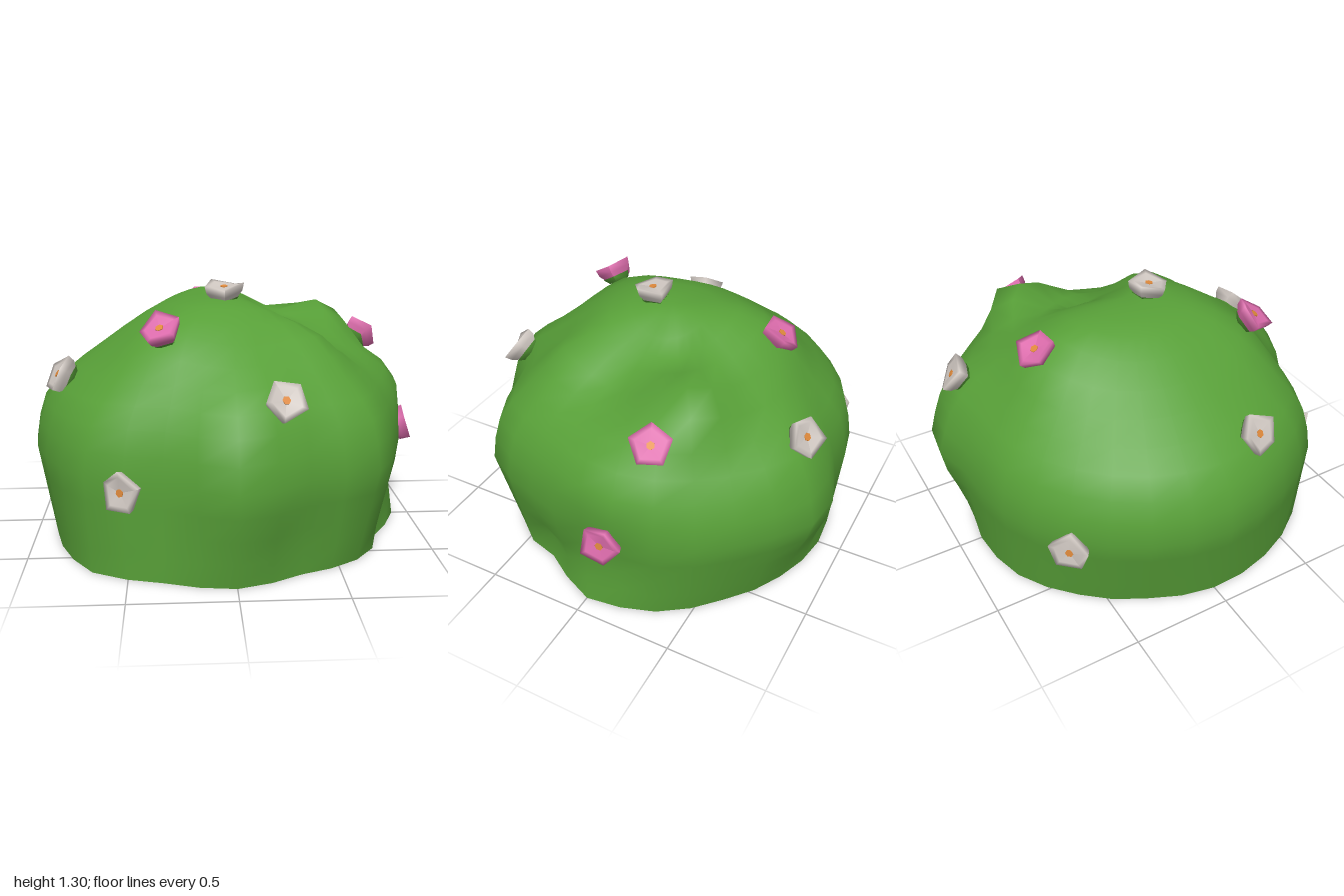
import * as THREE from 'three';

const mat = (name, color, side = THREE.FrontSide) => {
  const m = new THREE.MeshStandardMaterial({ color, side });
  m.name = name;
  return m;
};

// Radius every 22.5 degrees from +x towards +z: at the ground and at the widest height
const BASE = [0.92, 0.86, 0.85, 0.81, 0.88, 0.87, 0.95, 0.92, 0.9, 0.86, 0.86, 0.885, 0.88, 0.86, 0.856, 0.9];
const WIDE = [0.91, 0.9, 0.96, 0.86, 0.98, 0.87, 0.98, 0.98, 1.0, 0.985, 0.96, 0.945, 0.91, 1.0, 0.98, 0.97];
const WIDE_Y = 0.48;
// Height and share of the widest radius for each ring, bottom to top
const RINGS = [[0, 1], [0.12, 1], [0.24, 1], [0.36, 1], [WIDE_Y, 1], [0.6, 0.98], [0.71, 0.945], [0.8, 0.875],
  [0.88, 0.78], [0.96, 0.67], [1.04, 0.56], [1.12, 0.44], [1.18, 0.33], [1.21, 0.22], [1.22, 0.1]];
const SIDES = 32;
// Lumps and hollows: x, y, z, push outwards, reach
const BUMPS = [
  [0.5, 0.98, -0.34, 0.17, 0.18],
  [0.28, 1.15, -0.18, -0.12, 0.16],
  [0.28, 1.15, 0.06, -0.08, 0.16],
  [0.48, 1.0, 0.08, -0.08, 0.17],
  [0.4, 0.98, 0.34, 0.04, 0.17],
  [0.8, 0.1, 0.27, -0.09, 0.16],
  [0.88, 0.27, -0.05, -0.04, 0.2],
  [0.87, 0.75, -0.12, 0.07, 0.22],
  [0.25, 0.42, -0.93, 0.05, 0.2],
  [0.2, 0.42, 0.86, 0.04, 0.18],
  [-0.3, 1.03, 0.47, 0.07, 0.24],
  [-0.12, 1.07, -0.46, 0.08, 0.24],
  [0.25, 0.83, -0.78, 0.03, 0.2],
  [0.2, 0.83, 0.76, 0.03, 0.2],
];

// Radius at side j, read between the listed angles
const radiusAt = (table, j) => {
  const t = (j / SIDES) * table.length, i = Math.floor(t);
  return THREE.MathUtils.lerp(table[i], table[(i + 1) % table.length], t - i);
};

function bushGeometry() {
  const center = new THREE.Vector3(0, 0.3, 0);
  const pos = [], index = [];
  const push = (x, y, z) => {
    const p = new THREE.Vector3(x, y, z);
    const dir = p.clone().sub(center).normalize();
    let d = 0;
    for (const [bx, by, bz, amount, reach] of BUMPS) {
      d += amount * Math.exp(-((x - bx) ** 2 + (y - by) ** 2 + (z - bz) ** 2) / reach ** 2);
    }
    p.addScaledVector(dir, d);
    pos.push(p.x, y === 0 ? 0 : p.y, p.z);
  };
  RINGS.forEach(([y, k]) => {
    const low = Math.min(1, y / WIDE_Y);
    // the outline evens out towards the crown
    const even = Math.max(0, (y - 0.8) / 0.42);
    for (let j = 0; j < SIDES; j++) {
      const a = (j / SIDES) * Math.PI * 2;
      const side = THREE.MathUtils.lerp(radiusAt(BASE, j), radiusAt(WIDE, j), low);
      const r = k * THREE.MathUtils.lerp(side, 0.97, even);
      push(r * Math.cos(a), y, r * Math.sin(a));
    }
  });
  push(0, 1.22, 0);
  const last = RINGS.length - 1, apex = RINGS.length * SIDES;
  for (let i = 0; i <= last; i++) {
    for (let j = 0; j < SIDES; j++) {
      const a = i * SIDES + j, b = i * SIDES + ((j + 1) % SIDES);
      if (i === last) index.push(a, apex, b);
      else index.push(a, a + SIDES, b, b, a + SIDES, b + SIDES);
    }
  }
  const g = new THREE.BufferGeometry();
  g.setAttribute('position', new THREE.Float32BufferAttribute(pos, 3));
  g.setIndex(index);
  g.computeVertexNormals();
  return g;
}

// Five-sided cup with an uneven rim
function cup(profile, wobble) {
  const g = new THREE.LatheGeometry(profile.map(([r, y]) => new THREE.Vector2(r, y)), 5);
  const p = g.attributes.position;
  for (let i = 0; i < p.count; i++) {
    const x = p.getX(i), z = p.getZ(i), r = Math.hypot(x, z);
    p.setY(i, p.getY(i) + wobble * (r / 0.1) ** 2 * Math.sin(2 * Math.atan2(z, x) + 0.6));
  }
  g.computeVertexNormals();
  return g;
}

export function createModel() {
  const leaf = mat('leaf green', 0x58a038, THREE.DoubleSide);
  const white = mat('white petal', 0xd0c8c2, THREE.DoubleSide);
  const pink = mat('pink petal', 0xdc6cac, THREE.DoubleSide);
  const orange = mat('orange center', 0xe08a3c);

  const model = new THREE.Group();
  model.name = 'floweringBush';
  const add = (parent, name, geometry, material) => {
    const m = new THREE.Mesh(geometry, material);
    m.name = name;
    parent.add(m);
    return m;
  };

  // Open-bottomed mound of leaves
  add(model, 'bush', bushGeometry(), leaf);

  // Flowers: x, y, z, petal colour
  const flowers = [
    [-0.02, 1.25, 0.12, white],
    [-0.33, 1.12, 0.53, pink],
    [0.21, 0.85, 0.8, white],
    [-0.83, 0.85, 0.22, white],
    [-0.51, 0.44, 0.78, white],
    [0.95, 0.47, -0.13, pink],
    [0.75, 0.96, -0.29, pink],
    [-0.1, 1.13, -0.53, pink],
    [0.27, 0.87, -0.82, white],
    [-0.69, 0.43, -0.68, white],
  ];
  const petals = cup([[0.05, -0.055], [0.094, -0.005], [0.103, 0.032], [0.075, 0.03], [0, 0.022]], 0.016);
  const calyx = cup([[0, -0.062], [0.05, -0.06], [0.078, -0.03]], 0.016);
  const dot = new THREE.CylinderGeometry(0.02, 0.02, 0.008, 6);
  const up = new THREE.Vector3(0, 1, 0);
  flowers.forEach(([x, y, z, color], i) => {
    const f = new THREE.Group();
    f.name = 'flower' + (i + 1);
    f.position.set(x, y, z);
    f.quaternion.setFromUnitVectors(up, new THREE.Vector3(x, (y - 0.38) * 1.1, z).normalize());
    f.rotateY(i * 1.9);
    add(f, 'petals', petals, color);
    add(f, 'calyx', calyx, leaf);
    add(f, 'flowerCenter', dot, orange).position.y = 0.024;
    model.add(f);
  });
  return model;
}
